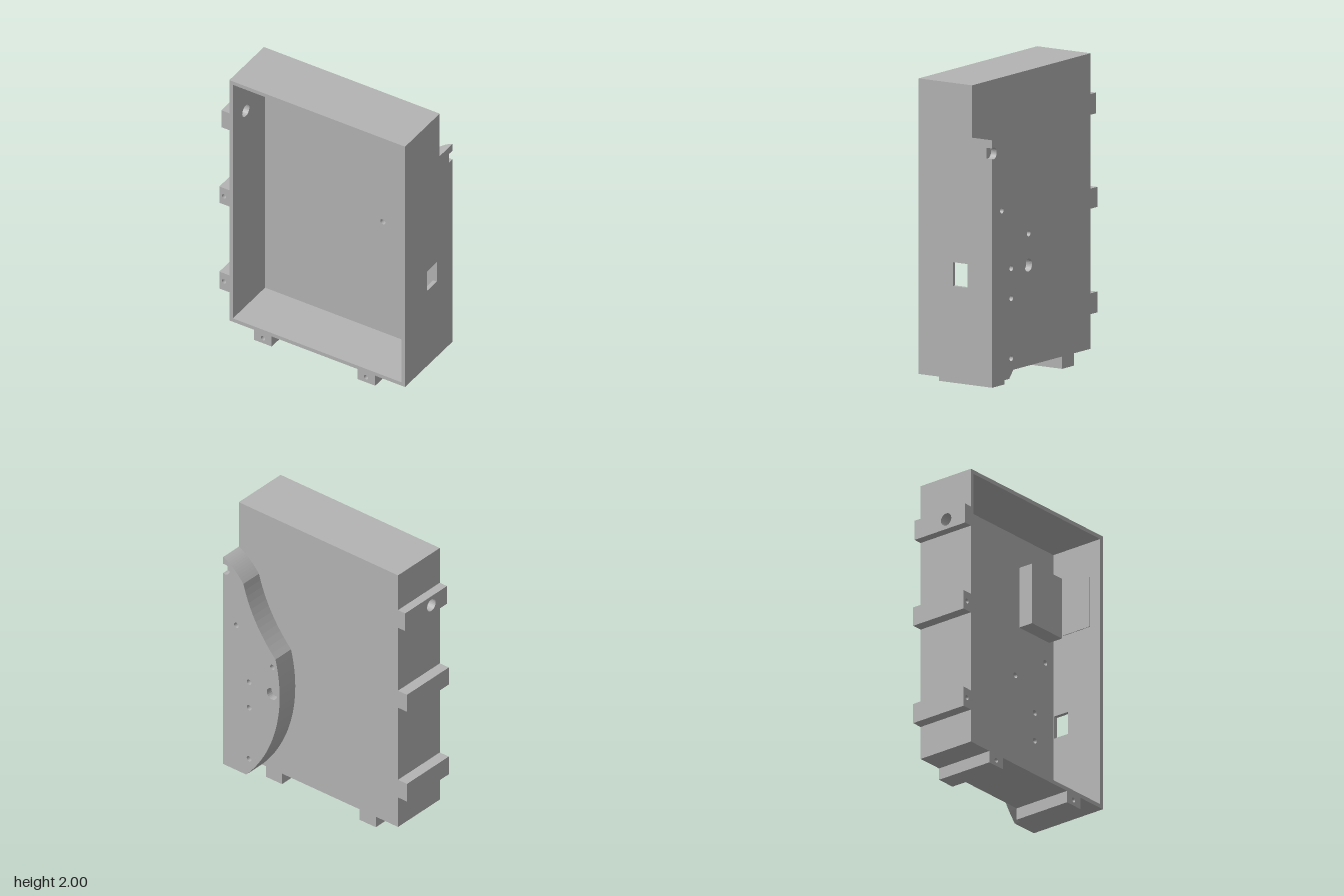
import * as THREE from 'three';

export function createModel() {
  const model = new THREE.Group();
  const grey = new THREE.MeshStandardMaterial({ color: 0xb4b4b4 });
  grey.name = 'grey plastic';

  // Enclosure limits
  const L = -0.625, R = 0.70, B = 0.08, T = 2.0, W = 0.027;
  const zBack = -0.13, zFront = 0.285, zFloor = -0.10, zRear = -0.285, zNotch = -0.24;

  const add = (name, geometry) => {
    const mesh = new THREE.Mesh(geometry, grey);
    mesh.name = name;
    model.add(mesh);
    return mesh;
  };
  const box = (name, x0, x1, y0, y1, z0, z1) => {
    const g = new THREE.BoxGeometry(x1 - x0, y1 - y0, z1 - z0);
    g.translate((x0 + x1) / 2, (y0 + y1) / 2, (z0 + z1) / 2);
    return add(name, g);
  };
  const rect = (x0, x1, y0, y1) => new THREE.Shape([
    new THREE.Vector2(x0, y0), new THREE.Vector2(x1, y0),
    new THREE.Vector2(x1, y1), new THREE.Vector2(x0, y1)]);
  const circle = (x, y, r) => new THREE.Path().absarc(x, y, r, 0, Math.PI * 2, true);
  const withHoles = (shape, holes) => {
    shape.holes.push(...holes);
    return shape;
  };
  // Plate drawn in x, y and extruded along z
  const plateZ = (name, shape, z0, z1) => {
    const g = new THREE.ExtrudeGeometry(shape, { depth: z1 - z0, bevelEnabled: false, curveSegments: 12 });
    return add(name, g.translate(0, 0, z0));
  };
  // Plate drawn in -z, y and extruded along x
  const plateX = (name, shape, x0, x1) => {
    const g = new THREE.ExtrudeGeometry(shape, { depth: x1 - x0, bevelEnabled: false, curveSegments: 12 });
    return add(name, g.rotateY(Math.PI / 2).translate(x0, 0, 0));
  };

  const screwHoles = () => [[0.59, 1.185], [0.29, 0.99], [0.485, 0.795], [0.485, 0.60], [0.485, 0.21]]
    .map(([x, y]) => circle(x, y, 0.019));
  const cableHole = () => circle(-0.13, 1.667, 0.043);

  // Open-fronted tray
  plateZ('backPanel', withHoles(rect(L + W, R - W, B + W, T - W), screwHoles()), zBack, zFloor);
  box('topWall', L + W, R - W, T - W, T, zBack, zFront);
  box('bottomWall', L + W, R - W, B, B + W, zBack, zFront);
  plateX('leftHandWall', withHoles(rect(-zFront, -zBack, B, T), [cableHole()]), L, L + W);
  const sideWindow = new THREE.Path(rect(-0.02, 0.095, 0.68, 0.835).getPoints().reverse());
  plateX('windowWall', withHoles(rect(-zFront, -zBack, B, T), [sideWindow]), R - W, R);

  // Curved rear housing; the outer layer carries the notch and the blind hole
  const housingOutline = (notched) => {
    const s = new THREE.Shape();
    s.moveTo(0.51, B);
    s.lineTo(R, B);
    if (notched) {
      const cx = 0.685, cy = 1.572, r = 0.0375, a = Math.acos((R - cx) / r);
      s.lineTo(R, cy - r * Math.sin(a));
      s.absarc(cx, cy, r, -a, a, true);
    }
    s.lineTo(R, 1.66);
    s.quadraticCurveTo(0.615, 1.625, 0.532, 1.525);
    s.quadraticCurveTo(0.46, 1.26, 0.265, 1.06);
    const cx = 1.275, cy = 0.79, r = 1.045;
    s.absarc(cx, cy, r, Math.atan2(1.06 - cy, 0.265 - cx),
      Math.atan2(B - cy, 0.51 - cx) + Math.PI * 2, false);
    return s;
  };
  plateZ('rearHousing', withHoles(housingOutline(false), screwHoles()), zNotch, zBack);
  plateZ('rearHousingFace',
    withHoles(housingOutline(true), [...screwHoles(), circle(0.295, 0.785, 0.042)]), zRear, zNotch);

  // Block on the tray floor and thin pad on the inner side wall
  box('innerBlock', 0.33, 0.63, 1.34, 1.76, zFloor, 0.005);
  box('wallPad', 0.668, R - W, 1.38, 1.73, -0.02, 0.2);

  // Mounting tabs with blind screw holes in front
  const tabs = [
    [-0.70, L, 0.99, 1.12, -0.665, 1.055],
    [-0.70, L, 0.305, 0.44, -0.665, 0.375],
    [-0.44, -0.305, 0, B, -0.37, 0.04],
    [0.34, 0.475, 0, B, 0.405, 0.04],
  ];
  for (const [x0, x1, y0, y1, hx, hy] of tabs) {
    box('mountingTabBase', x0, x1, y0, y1, zBack, 0.15);
    plateZ('mountingTab', withHoles(rect(x0, x1, y0, y1), [circle(hx, hy, 0.016)]), 0.15, zFront);
  }

  // Cable tab, bored sideways through the wall
  plateX('cableTab', withHoles(rect(-zFront, -zBack, 1.60, 1.735), [cableHole()]), -0.685, L);

  return model;
}
